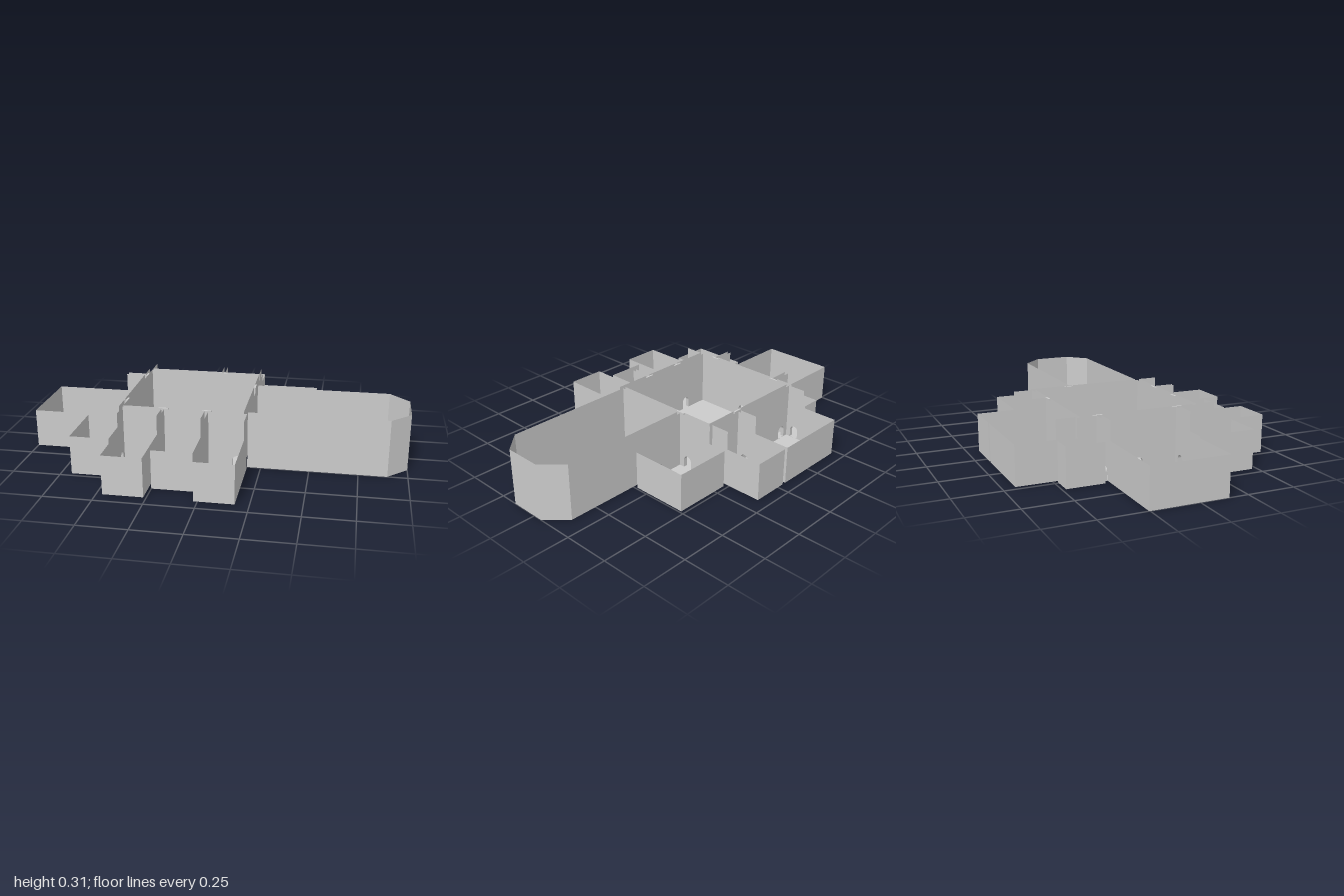
import * as THREE from 'three';

const TALL = 0.305, LOW = 0.205;      // wall heights
const DOOR_R = 0.025, DOOR_H = 0.07;  // arched doorway
const FAR = 9;
const mat = new THREE.MeshStandardMaterial({ color: 0xcccccc, side: THREE.DoubleSide, flatShading: true });

// Doorways at the middle of the gaps: [x, z, direction of passage]
const doors = [
  [-0.42, -0.37, 'z'], [0.005, -0.37, 'z'], [-0.05, -0.43, 'x'], [0.17, -0.43, 'x'],
  [0.17, -0.23, 'x'], [0.335, -0.165, 'z'], [0.17, 0.045, 'x'], [-0.48, -0.055, 'x'],
  [-0.54, -0.268, 'z'], [-0.48, -0.43, 'x'], [-0.48, 0.32, 'x'], [-0.54, 0.16, 'z'],
  [-0.32, 0.265, 'z'], [-0.09, 0.265, 'z'], [0.13, 0.265, 'z'],
];

const rect = (x0, z0, x1, z1) => [[x0, z0], [x1, z0], [x1, z1], [x0, z1]];
const everywhere = [-FAR, -FAR, FAR, FAR];

// Rooms: name, floor outline, zone in which the walls are tall [x0, z0, x1, z1]
const rooms = [
  ['hall', rect(-0.47, -0.36, 0.16, 0.255), everywhere],
  ['backLargeRoom', rect(-0.47, -0.685, -0.06, -0.38), [-FAR, -0.48, FAR, FAR]],
  ['backSmallRoom', rect(-0.04, -0.685, 0.16, -0.38), [-FAR, -0.48, FAR, FAR]],
  ['backLeftRoom', rect(0.18, -0.48, 0.49, -0.175), [-FAR, -0.38, 0.285, FAR]],
  ['longRoom', [[0.18, -0.155], [0.897, -0.155], [1, -0.05], [1, 0.15], [0.897, 0.25], [0.18, 0.25]], everywhere],
  ['rightRoom', rect(-1, -0.255, -0.49, 0.15), [-0.595, -FAR, FAR, FAR]],
  ['closet', rect(-0.595, -0.48, -0.49, -0.28), [-0.592, -0.38, FAR, FAR]],
  ['frontRightRoom', rect(-0.695, 0.17, -0.49, 0.475), [-0.595, -FAR, FAR, 0.275]],
  ['frontRoomA', rect(-0.47, 0.275, -0.265, 0.68), [-FAR, -FAR, FAR, 0.38]],
  ['frontRoomB', rect(-0.25, 0.275, -0.04, 0.58), [-FAR, -FAR, FAR, 0.38]],
  ['frontRoomC', rect(-0.02, 0.275, 0.18, 0.68), [-FAR, -FAR, FAR, 0.38]],
];

// Arch outline added to a path, left to right, starting on the ground
function arch(path, x, r, h) {
  path.lineTo(x - r, 0);
  path.lineTo(x - r, h - r);
  path.absarc(x, h - r, r, Math.PI, 0, true);
  path.lineTo(x + r, 0);
}

// Part of the wall a-b (as distances from a) that lies in the tall zone
function tallSpan(a, d, len, zone) {
  let t0 = 0, t1 = len;
  for (let k = 0; k < 2; k++) {
    if (Math.abs(d[k]) < 1e-6) {
      if (a[k] < zone[k] || a[k] > zone[k + 2]) return null;
      continue;
    }
    const u = (zone[k] - a[k]) / d[k], v = (zone[k + 2] - a[k]) / d[k];
    t0 = Math.max(t0, Math.min(u, v));
    t1 = Math.min(t1, Math.max(u, v));
  }
  return t1 - t0 > 0.005 ? [t0, t1] : null;
}

// Thin wall with a stepped top edge and arched door openings
function makeWall(a, b, zone) {
  const len = Math.hypot(b[0] - a[0], b[1] - a[1]);
  const d = [(b[0] - a[0]) / len, (b[1] - a[1]) / len];
  const shape = new THREE.Shape();
  shape.moveTo(0, 0);
  doors
    .filter(([, , axis]) => Math.abs(axis === 'x' ? d[0] : d[1]) < 1e-6)
    .map(([x, z]) => [
      (x - a[0]) * d[0] + (z - a[1]) * d[1],
      Math.abs((x - a[0]) * d[1] - (z - a[1]) * d[0]),
    ])
    .filter(([t, off]) => off < 0.02 && t > DOOR_R && t < len - DOOR_R)
    .sort((p, q) => p[0] - q[0])
    .forEach(([t]) => arch(shape, t, DOOR_R, DOOR_H));
  shape.lineTo(len, 0);
  const span = tallSpan(a, d, len, zone);
  if (span) {
    const [t0, t1] = span;
    if (t1 < len - 0.005) { shape.lineTo(len, LOW); shape.lineTo(t1, LOW); }
    shape.lineTo(t1, TALL);
    shape.lineTo(t0, TALL);
    if (t0 > 0.005) { shape.lineTo(t0, LOW); shape.lineTo(0, LOW); }
  } else {
    shape.lineTo(len, LOW);
    shape.lineTo(0, LOW);
  }
  const wall = new THREE.Mesh(new THREE.ShapeGeometry(shape, 8), mat);
  wall.name = 'wall';
  wall.position.set(a[0], 0, a[1]);
  wall.rotation.y = Math.atan2(-d[1], d[0]);
  return wall;
}

function makeRoom([name, outline, zone]) {
  const room = new THREE.Group();
  room.name = name;
  const shape = new THREE.Shape(outline.map(([x, z]) => new THREE.Vector2(x, z)));
  const floor = new THREE.Mesh(new THREE.ShapeGeometry(shape).rotateX(Math.PI / 2), mat);
  floor.name = 'floor';
  room.add(floor);
  outline.forEach((p, i) => room.add(makeWall(p, outline[(i + 1) % outline.length], zone)));
  return room;
}

// Short arched passage bridging the gap between two rooms
function makePassage([x, z, axis]) {
  const shape = new THREE.Shape();
  shape.moveTo(-DOOR_R, 0);
  arch(shape, 0, DOOR_R, DOOR_H);
  const hole = new THREE.Path();
  hole.moveTo(-DOOR_R + 0.001, 0.001);
  hole.lineTo(-DOOR_R + 0.001, DOOR_H - DOOR_R);
  hole.absarc(0, DOOR_H - DOOR_R, DOOR_R - 0.001, Math.PI, 0, true);
  hole.lineTo(DOOR_R - 0.001, 0.001);
  shape.holes.push(hole);
  const geo = new THREE.ExtrudeGeometry(shape, { depth: 0.02, bevelEnabled: false, curveSegments: 8 });
  geo.translate(0, 0, -0.01);
  const passage = new THREE.Mesh(geo, mat);
  passage.name = 'passage';
  passage.position.set(x, 0, z);
  if (axis === 'x') passage.rotation.y = Math.PI / 2;
  return passage;
}

export function createModel() {
  const model = new THREE.Group();
  model.name = 'roomLayout';
  rooms.forEach((r) => model.add(makeRoom(r)));
  doors.forEach((d) => model.add(makePassage(d)));

  // Narrow strips on the hall walls where two neighbouring rooms meet
  const strips = [
    [-0.475, -0.268, 'x'], [-0.475, 0.16, 'x'], [0.165, -0.165, 'x'],
    [-0.05, -0.365, 'z'], [-0.257, 0.26, 'z'], [-0.03, 0.26, 'z'],
  ];
  for (const [x, z, axis] of strips) {
    const size = axis === 'x' ? [0.01, 0.05] : [0.05, 0.01];
    const strip = new THREE.Mesh(new THREE.BoxGeometry(size[0], TALL, size[1]), mat);
    strip.name = 'junctionStrip';
    strip.position.set(x, TALL / 2, z);
    model.add(strip);
  }
  return model;
}
